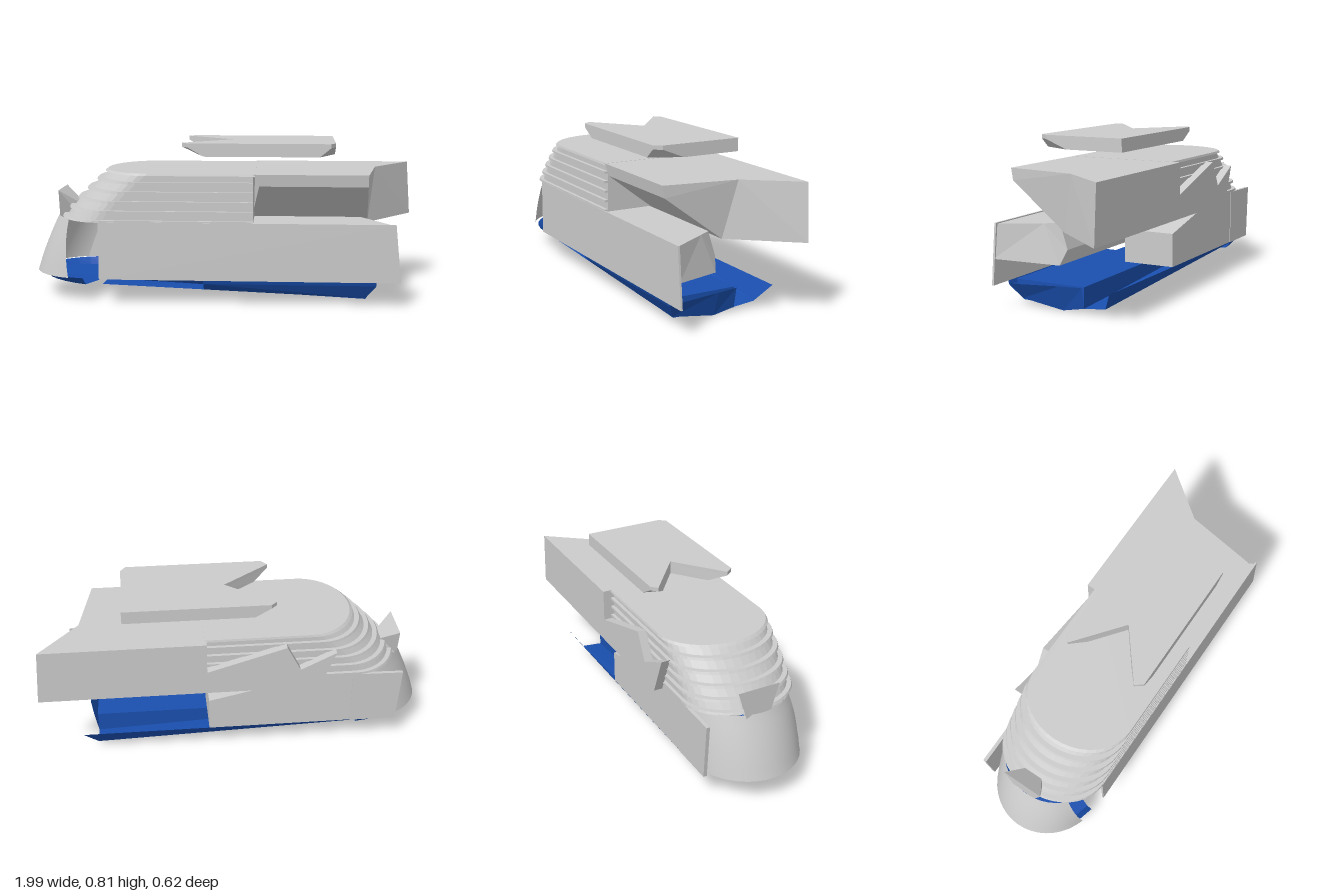
import * as THREE from 'three';

const grey = new THREE.MeshStandardMaterial({ color: 0xcccccc, flatShading: true, side: THREE.DoubleSide });
const smooth = new THREE.MeshStandardMaterial({ color: 0xcccccc, side: THREE.DoubleSide });
const blue = new THREE.MeshStandardMaterial({ color: 0x1a50b0, flatShading: true, side: THREE.DoubleSide });

// Skin a list of cross-sections, each a list of [x, y, z] points.
function loft(sections, { closed = true, caps = true } = {}) {
  const n = sections[0].length, pos = sections.flat(2), idx = [];
  const at = (s, i) => s * n + (i % n);
  for (let s = 0; s < sections.length - 1; s++) {
    for (let i = 0; i < (closed ? n : n - 1); i++) {
      idx.push(at(s, i), at(s, i + 1), at(s + 1, i), at(s, i + 1), at(s + 1, i + 1), at(s + 1, i));
    }
  }
  if (caps) {
    const last = sections.length - 1;
    for (let i = 1; i < n - 1; i++) {
      idx.push(at(0, 0), at(0, i + 1), at(0, i), at(last, 0), at(last, i), at(last, i + 1));
    }
  }
  const g = new THREE.BufferGeometry();
  g.setAttribute('position', new THREE.Float32BufferAttribute(pos, 3));
  g.setIndex(idx);
  g.computeVertexNormals();
  return g;
}

// Side profile in x, y extruded from z0 to z1.
function slab(points, z0, z1) {
  const shape = new THREE.Shape(points.map(p => new THREE.Vector2(...p)));
  return new THREE.ExtrudeGeometry(shape, { depth: z1 - z0, bevelEnabled: false }).translate(0, 0, z0);
}

// Plan outline with a rounded bow, running back to x = rear.
function bowOutline(y, bow, length, halfWidth, rear) {
  const pts = [[rear, y, 0.02 - halfWidth]];
  for (let i = 0; i <= 20; i++) {
    const a = -Math.PI / 2 + Math.PI * i / 20;
    pts.push([bow + length * (1 - Math.cos(a)), y, 0.02 + halfWidth * Math.sin(a)]);
  }
  pts.push([rear, y, 0.02 + halfWidth]);
  return pts;
}

export function createModel() {
  const model = new THREE.Group();
  const add = (name, geometry, material = grey) => {
    const m = new THREE.Mesh(geometry, material);
    m.name = name;
    model.add(m);
  };

  // Louvred cabin: recessed tiers with thin projecting ribs
  const bowAt = y => -0.86 + 0.24 * Math.pow((y - 0.42) / 0.245, 1.15);
  const tiers = 5, step = 0.245 / tiers;
  for (let i = 0; i < tiers; i++) {
    const y = 0.42 + i * step, b0 = bowAt(y), b1 = bowAt(y + step);
    add('cabinTier', loft([
      bowOutline(y, b0 + 0.025, 0.22, 0.272, 0.15),
      bowOutline(y + step, b1 + 0.02, 0.22, 0.272, 0.15)]));
    add('cabinRib', loft([
      bowOutline(y - 0.004, b0, 0.23, 0.29, 0.15),
      bowOutline(y + 0.007, b0 + 0.008, 0.23, 0.29, 0.15)]));
  }
  add('roofDeck', loft([
    bowOutline(0.655, -0.63, 0.24, 0.29, 0.16),
    bowOutline(0.666, -0.615, 0.24, 0.287, 0.16)]));

  // Upper wing: flat top, deep far wall, underside sloping up to the near edge
  const upper = [[0.665, -0.06], [0.665, -0.31], [0.38, -0.31], [0.38, 0], [0.605, 0.3], [0.665, 0.31]];
  const upperRear = [0.78, 0.975, 0.995, 0.74, 0.72, 0.72];
  const upperFront = [0.15, 0.15, 0.15, 0.13, 0.18, 0.15];
  const run = (profile, xs) => profile.map(([y, z], i) => [xs[i], y, z]);
  add('upperWing', loft([run(upper, upperFront), run(upper, upperRear)]));
  add('upperWingJaggedEdge', slab([
    [0.16, 0.38], [0.16, 0.5], [-0.25, 0.625], [-0.32, 0.49], [-0.5, 0.58], [-0.42, 0.38]], -0.31, -0.265));

  // Lower wing: near-side block with an angled rear, and its outer wall
  const lower = [[0.415, 0.115], [0.415, 0.31], [0.25, 0.31], [0.22, 0.03], [0.29, 0.01], [0.415, 0.05]];
  add('lowerWing', loft([
    run(lower, [-0.6, -0.62, -0.62, -0.6, -0.6, -0.6]),
    run(lower, [0.74, 0.855, 0.875, 0.74, 0.7, 0.7])]));
  add('lowerWingWall', slab([[-0.63, 0.125], [0.89, 0.125], [0.86, 0.42], [-0.63, 0.42]], 0.302, 0.312));

  // Far-side lower body with a sloped top, and its thin forward plate
  add('lowerBody', slab([
    [0.14, 0.125], [0.14, 0.297], [-0.38, 0.415], [-0.62, 0.415], [-0.62, 0.125]], -0.265, 0.01));
  add('forwardPlate', slab([[-0.6, 0.125], [-0.6, 0.415], [-0.86, 0.41], [-0.84, 0.125]], -0.268, -0.25));

  // Rounded bow shell, cut away on the near side
  const bowRings = [];
  for (let j = 0; j <= 6; j++) {
    const t = j / 6, y = 0.125 + 0.295 * t;
    const bow = -1 + 0.09 * t + 0.03 * t * t, ring = [];
    const end = THREE.MathUtils.degToRad(72 - 28 * t);
    for (let i = 0; i <= 20; i++) {
      const a = -Math.PI / 2 + (end + Math.PI / 2) * i / 20;
      ring.push([bow + 0.3 * (1 - Math.cos(a)), y, 0.02 + 0.283 * Math.sin(a)]);
    }
    bowRings.push(ring);
  }
  add('bowShell', loft(bowRings, { closed: false, caps: false }), smooth);

  // Tapered bracket on the bow
  add('bowBracket', loft([
    [[-0.875, 0.39, -0.06], [-0.875, 0.39, 0.06], [-0.87, 0.55, 0.11], [-0.87, 0.55, -0.11]],
    [[-0.78, 0.42, -0.05], [-0.78, 0.42, 0.05], [-0.785, 0.485, 0.05], [-0.785, 0.485, -0.05]]]));

  // Floating roof plate with a swallowtail notch and undercut corners
  const plateTop = [[0.035, 0.02], [-0.21, 0.215], [-0.18, 0.255], [0.535, 0.255],
    [0.56, 0.215], [0.56, -0.205], [-0.18, -0.205], [-0.21, -0.175]];
  const plateBase = [[0.035, 0.02], [-0.13, 0.15], [-0.1, 0.255], [0.48, 0.255],
    [0.56, 0.1], [0.56, -0.205], [-0.1, -0.205], [-0.13, -0.11]];
  const level = (pts, y) => pts.map(([x, z]) => [x, y, z]);
  add('roofPlate', loft([level(plateBase, 0.747), level(plateTop, 0.793), level(plateTop, 0.813)]));

  // Blue hull bottom: shallow vee deepening towards the stern
  const keelAt = x => 0.07 * (0.72 - x) / 1.34;
  const bottom = x => {
    const k = keelAt(x), s = 1 - 0.45 * k / 0.07;
    return [[x, k + 0.033 * s, -0.205], [x, k + 0.022 * s, -0.09], [x, k, 0.025],
      [x, k + 0.022 * s, 0.14], [x, k + 0.033 * s, 0.255]];
  };
  add('hullBottom', loft([bottom(-0.62), bottom(-0.1), bottom(0.72)], { closed: false, caps: false }), blue);

  // Far chine plate along the full hull, near chine plate on the aft half
  const farChine = (x, x2) => [bottom(x)[0], [x2, 0.125, -0.265]];
  add('farChine', loft([farChine(-0.62, -0.68), farChine(0.72, 0.79)], { closed: false, caps: false }), blue);
  const nearChine = (x, x2) => [bottom(x)[4], [x2, 0.105, 0.298], [x2, 0.125, 0.305]];
  add('nearChine', loft([nearChine(-0.1, -0.1), nearChine(0.72, 0.77)], { closed: false, caps: false }), blue);

  // Inner hull box and its transom
  const inner = (x, z1) => [[x, keelAt(x) + 0.02, -0.09], [x, 0.125, -0.09],
    [x, 0.125, z1], [x, keelAt(x) + 0.028, z1 - 0.04]];
  add('innerHull', loft([inner(-0.62, 0.2), inner(-0.1, 0.2), inner(-0.1, 0.29), inner(0.72, 0.29)]), blue);
  add('transom', loft([
    [[0.72, 0.022, -0.09], [0.72, 0, 0.025], [0.72, 0.033, 0.255]],
    [[0.74, 0.125, -0.09], [0.76, 0.125, 0.025], [0.77, 0.11, 0.298]]], { closed: false, caps: false }), blue);

  // Blue underside of the bow
  const prow = (y, bow, half) => {
    const ring = [];
    for (let i = 0; i <= 14; i++) {
      const a = -Math.PI / 2 + Math.PI * 0.93 * i / 14;
      ring.push([bow + (-0.64 - bow) * (1 - Math.cos(a)), y - 0.03 * (1 - Math.cos(a)) * (y < 0.12 ? 0.6 : 0), 0.02 + half * Math.sin(a)]);
    }
    return ring;
  };
  const centre = Array.from({ length: 15 }, () => [-0.62, 0.075, 0.025]);
  add('prowBottom', loft([prow(0.125, -0.99, 0.28), prow(0.1, -0.95, 0.245), centre],
    { closed: false, caps: false }), blue);

  return model;
}
